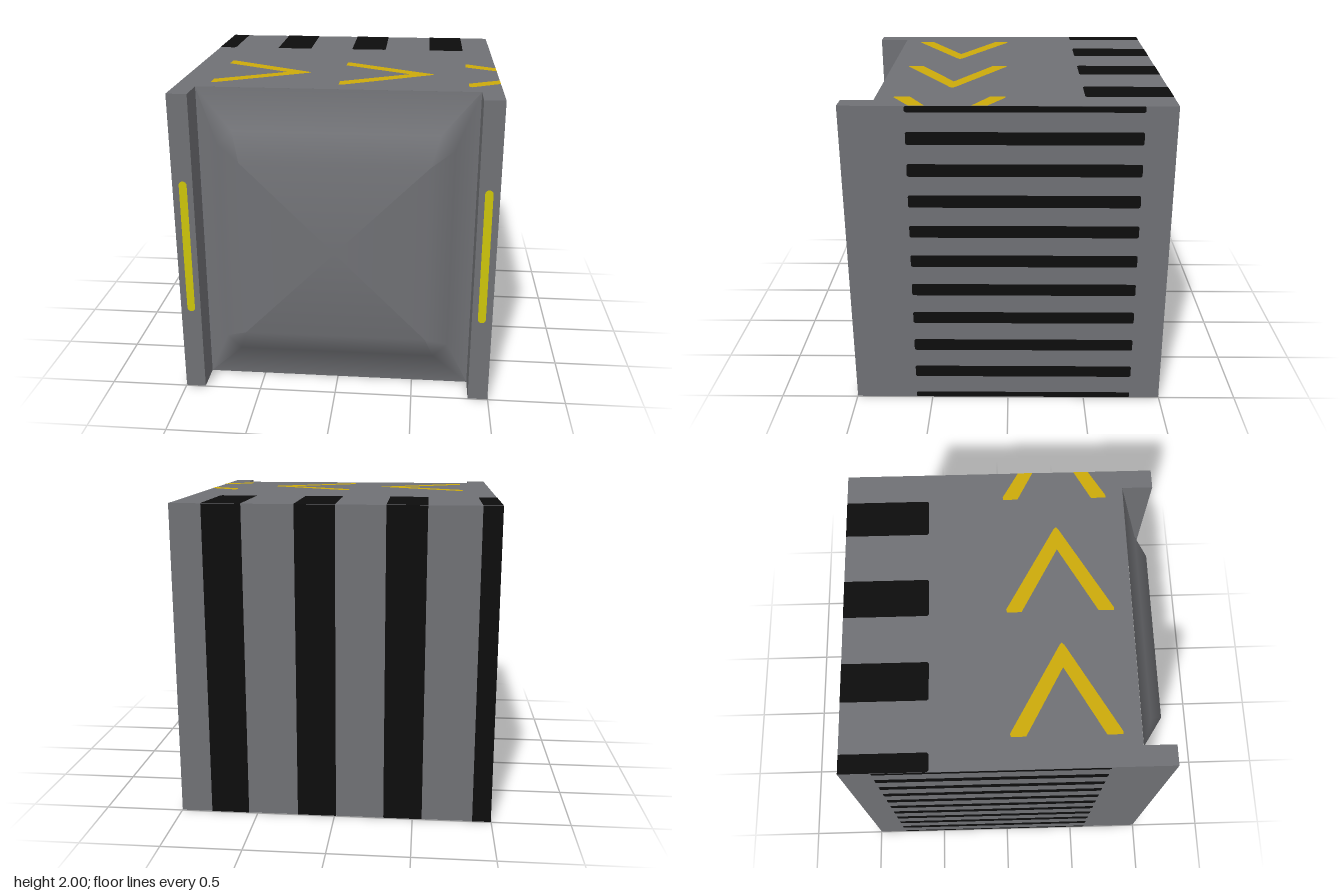
import * as THREE from 'three';

const mat = (name, color) => {
  const m = new THREE.MeshStandardMaterial({ color });
  m.name = name;
  return m;
};

const polygon = (pts) => new THREE.Shape(pts.map(([x, y]) => new THREE.Vector2(x, y)));

// Rectangle with rounded corners; r = 0 keeps it square
function bar(x0, x1, y0, y1, r = 0) {
  if (!r) return polygon([[x0, y0], [x1, y0], [x1, y1], [x0, y1]]);
  const s = new THREE.Shape();
  s.absarc(x1 - r, y0 + r, r, -Math.PI / 2, 0);
  s.absarc(x1 - r, y1 - r, r, 0, Math.PI / 2);
  s.absarc(x0 + r, y1 - r, r, Math.PI / 2, Math.PI);
  s.absarc(x0 + r, y0 + r, r, Math.PI, Math.PI * 1.5);
  s.closePath();
  return s;
}

// Bulging front panel made of nested rings: half width, half height, z, corner cut, normal tilt
function panelGeometry() {
  const rings = [
    [0.87, 0.998, 0.8, 0, 0.15],
    [0.725, 0.75, 0.9, 0.09, 0.6],
    [0.58, 0.58, 0.998, 0, 0.18],
  ];
  const pos = [], nor = [], idx = [];
  const n = new THREE.Vector3();
  for (const [w, h, z, c, tilt] of rings) {
    const loop = [
      [w, -h + c, 1, 0], [w, h - c, 1, 0], [w - c, h, 0, 1], [-w + c, h, 0, 1],
      [-w, h - c, -1, 0], [-w, -h + c, -1, 0], [-w + c, -h, 0, -1], [w - c, -h, 0, -1],
    ];
    for (const [x, y, nx, ny] of loop) {
      pos.push(x, y + 1, z);
      n.set(nx * tilt, ny * tilt, 1).normalize();
      nor.push(n.x, n.y, n.z);
    }
  }
  for (let r = 0; r < 2; r++) {
    for (let i = 0; i < 8; i++) {
      const a = r * 8 + i, b = r * 8 + (i + 1) % 8;
      idx.push(a, b, b + 8, a, b + 8, a + 8);
    }
  }
  pos.push(0, 1, 0.998);
  nor.push(0, 0, 1);
  for (let i = 0; i < 8; i++) idx.push(16 + i, 16 + (i + 1) % 8, 24);
  const g = new THREE.BufferGeometry();
  g.setAttribute('position', new THREE.Float32BufferAttribute(pos, 3));
  g.setAttribute('normal', new THREE.Float32BufferAttribute(nor, 3));
  g.setIndex(idx);
  return g;
}

export function createModel() {
  const model = new THREE.Group();
  model.name = 'crate';
  const grey = mat('grey metal', 0x707175);
  const black = mat('black paint', 0x0d0d0d);
  const gold = mat('gold paint', 0xcdab0a);
  const yellow = mat('yellow light', 0xcdc50a);

  const add = (name, geo, material) => {
    const m = new THREE.Mesh(geo, material);
    m.name = name;
    model.add(m);
    return m;
  };

  // Body: block with two front rails, extruded upwards (plan drawn with y = -z)
  const e = 0.998;
  const plan = polygon([[-e, e], [-e, -e], [-0.87, -e], [-0.87, -0.799], [0.87, -0.799], [0.87, -e], [e, -e], [e, e]]);
  const body = new THREE.ExtrudeGeometry(plan, { depth: 1.996, bevelEnabled: false });
  body.rotateX(-Math.PI / 2).translate(0, 0.002, 0);
  add('body', body, grey);
  add('frontPanel', panelGeometry(), grey);

  // Painted faces, one list of shapes per side
  const paint = (name, shapes, material, rx, ry, offset) => {
    const g = new THREE.ShapeGeometry(shapes, 6);
    g.rotateX(rx).rotateY(ry).translate(...offset);
    add(name, g, material);
  };

  // Horizontal slots on both sides
  for (const s of [1, -1]) {
    const slots = [];
    for (let i = 0; i <= 10; i++) {
      const y = i * 0.2;
      const a = s > 0 ? -0.605 : -0.805;
      slots.push(bar(a, a + 1.41, Math.max(0.002, y - 0.04), Math.min(1.998, y + 0.04), 0.012));
    }
    paint(s > 0 ? 'leftSlots' : 'rightSlots', slots, black, 0, s * Math.PI / 2, [s, 0, 0]);
  }

  // Bands run down the back and fold over onto the top and bottom
  const bands = [[-e, -0.88], [-0.56, -0.315], [-0.01, 0.237], [0.557, 0.8]];
  paint('backBands', bands.map(([a, b]) => bar(-b, -a, 0.002, 1.998)), black, 0, Math.PI, [0, 0, -1]);

  for (const s of [1, -1]) {
    const side = s > 0 ? 'top' : 'bottom';
    const flip = (pts) => polygon(pts.map(([x, z]) => [x, -s * z]));
    const rx = -s * Math.PI / 2, offset = [0, 1 + s, 0];
    paint(side + 'Bands', bands.map(([a, b]) => flip([
      [a, -e], [b, -e], [b, -0.475], [b - 0.01, -0.465], [a + 0.01, -0.465], [a, -0.475],
    ])), black, rx, 0, offset);

    // Two full chevrons and one cut off by the edge
    const chevrons = [-0.8, 0].map((x) => flip([
      [x, 0.02], [x + 0.02, 0.015], [x + 0.575, 0.335], [x + 0.59, 0.35], [x + 0.575, 0.365],
      [x + 0.02, 0.685], [x, 0.685], [x, 0.59], [x + 0.43, 0.35], [x, 0.11],
    ]));
    for (const k of [1, -1]) {
      const z = (d) => 0.35 - k * d;
      chevrons.push(flip([[0.8, z(0.335)], [0.82, z(0.335)], [e, z(0.23)], [e, z(0.135)], [0.8, z(0.24)]]));
    }
    paint(side + 'Chevrons', chevrons, gold, rx, 0, offset);
  }

  // Light strips on the front rails
  paint('railLights', [-0.932, 0.932].map((x) => bar(x - 0.025, x + 0.025, 0.56, 1.45, 0.0249)),
    yellow, 0, 0, [0, 0, 1]);

  return model;
}
